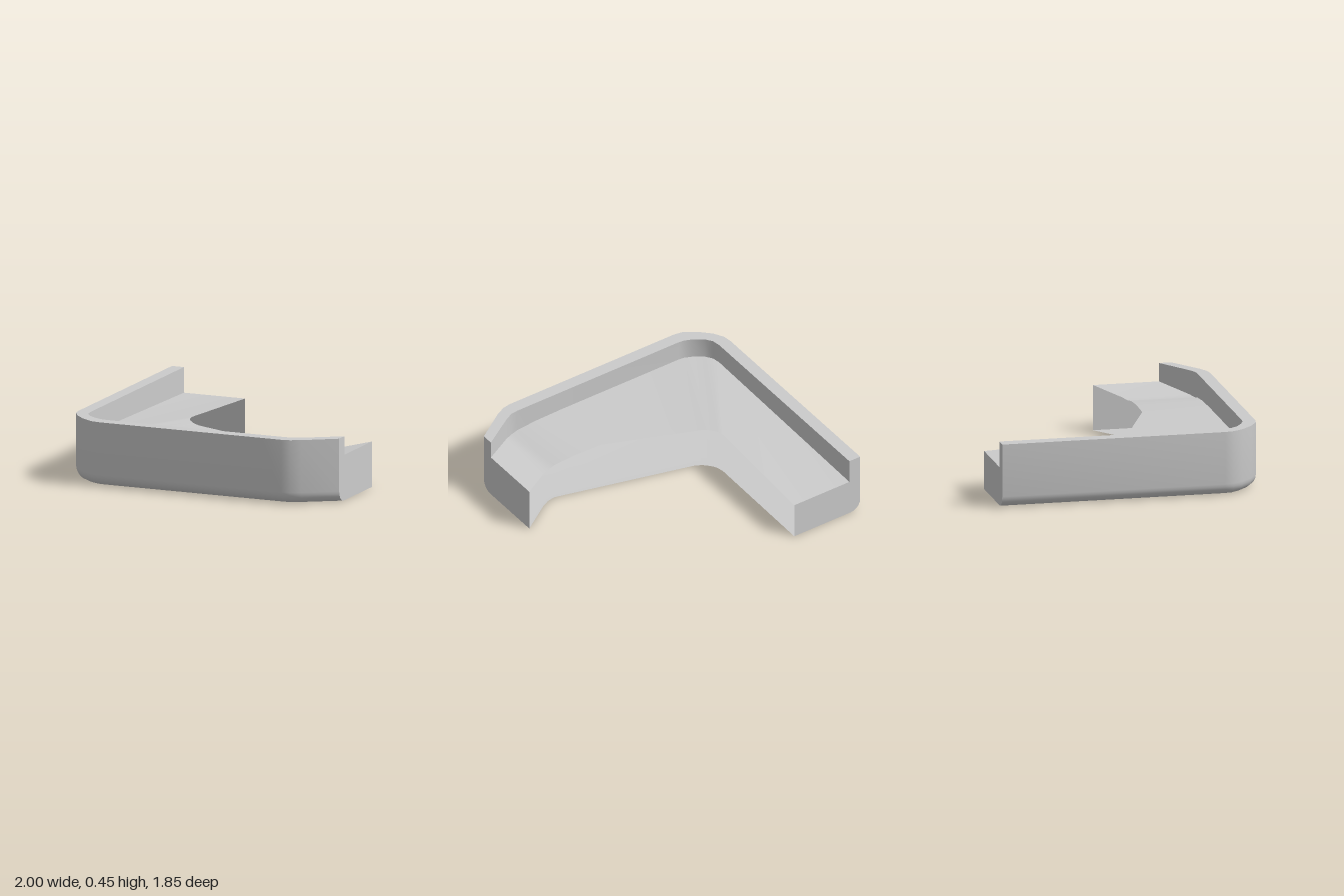
import * as THREE from 'three';
import { toCreasedNormals } from 'three/addons/utils/BufferGeometryUtils.js';

const TOP = 0.45, FILLET = 0.08;

// Each station: outer x,z | lip inner x,z | ledge edge x,z | ledge height at lip, at edge
const stations = [
  [-1, -0.925, -0.91, -0.925, -0.45, -0.925, 0.27, 0.27],
  [-1, 0.65, -0.91, 0.65, -0.46, -0.05, 0.30, 0.315],
  [-0.99, 0.71, -0.90, 0.71, -0.45, 0.0, 0.30, 0.315],
  [-0.95, 0.78, -0.865, 0.76, -0.435, 0.03, 0.30, 0.31],
  [-0.87, 0.86, -0.79, 0.81, -0.41, 0.06, 0.30, 0.31],
  [-0.78, 0.915, -0.74, 0.83, -0.38, 0.09, 0.30, 0.305],
  [-0.72, 0.925, -0.70, 0.835, -0.33, 0.115, 0.30, 0.30],
  [0.28, 0.925, 0.28, 0.835, 0.28, 0.36, 0.30, 0.295],
  [0.5, 0.925, 0.5, 0.835, 0.5, 0.37, 0.295, 0.29],
  [0.65, 0.925, 0.65, 0.835, 0.66, 0.37, 0.28, 0.28],
  [0.71, 0.915, 0.70, 0.83, 0.72, 0.36, 0.27, 0.27],
  [0.78, 0.88, 0.76, 0.80, 0.78, 0.33, 0.28, 0.28],
  [1, 0.73, 1, 0.645, 1, 0.18, 0.32, 0.32],
];

// The floor runs straight across where the ledge is notched
function floorEdgeZ(x, z) {
  if (x < -0.33 || x > 0.66) return z;
  return THREE.MathUtils.mapLinear(x, -0.33, 0.66, 0.115, 0.37);
}

// Open cross-section from floor edge, round the outside, over the lip to the ledge edge
function section([ox, oz, lx, lz, ex, ez, yLip, yEdge]) {
  const inward = new THREE.Vector3(lx - ox, 0, lz - oz).normalize();
  const points = [new THREE.Vector3(ex, 0, floorEdgeZ(ex, ez))];
  for (let k = 0; k <= 6; k++) {
    const a = (k / 6) * Math.PI / 2;
    const p = new THREE.Vector3(ox, FILLET * (1 - Math.cos(a)), oz);
    points.push(p.addScaledVector(inward, FILLET * (1 - Math.sin(a))));
  }
  points.push(
    new THREE.Vector3(ox, TOP, oz),
    new THREE.Vector3(lx, TOP, lz),
    new THREE.Vector3(lx, yLip, lz),
    new THREE.Vector3(ex, yEdge, ez),
  );
  return points;
}

function geometryFrom(points) {
  const g = new THREE.BufferGeometry().setFromPoints(points);
  return toCreasedNormals(g, 0.6);
}

// Skin between successive cross-sections, using section points from..to
function skin(sections, from, to) {
  const tris = [];
  for (let i = 0; i + 1 < sections.length; i++) {
    for (let j = from; j < to; j++) {
      const a = sections[i][j], b = sections[i][j + 1];
      const c = sections[i + 1][j], d = sections[i + 1][j + 1];
      tris.push(a, c, b, b, c, d);
    }
  }
  return geometryFrom(tris);
}

// Flat end plate filling one cross-section, facing outward
function endPlate(points, axis, outward) {
  const flat = points.map((p) => new THREE.Vector2(p[axis], p.y));
  const tris = [];
  for (const face of THREE.ShapeUtils.triangulateShape(flat, [])) {
    const [a, b, c] = face.map((k) => points[k]);
    const n = b.clone().sub(a).cross(c.clone().sub(a));
    tris.push(...(n.dot(outward) > 0 ? [a, b, c] : [a, c, b]));
  }
  return geometryFrom(tris);
}

export function createModel() {
  const group = new THREE.Group();
  group.name = 'cornerTrim';
  const material = new THREE.MeshStandardMaterial({ color: 0xcccccc, side: THREE.DoubleSide });
  const add = (name, geometry) => {
    const mesh = new THREE.Mesh(geometry, material);
    mesh.name = name;
    group.add(mesh);
  };
  const sections = stations.map(section);

  // Floor, rounded lower edge and outer wall
  add('outerShell', skin(sections, 0, 8));
  // Flat rim and its inner face
  add('raisedLip', skin(sections, 8, 10));
  // Recessed shelf inside the rim; the inner side below it is open
  add('ledge', skin(sections, 10, 11));

  add('backEndPlate', endPlate(sections[0], 'x', new THREE.Vector3(0, 0, -1)));
  add('sideEndPlate', endPlate(sections[sections.length - 1], 'z', new THREE.Vector3(1, 0, 0)));
  return group;
}
